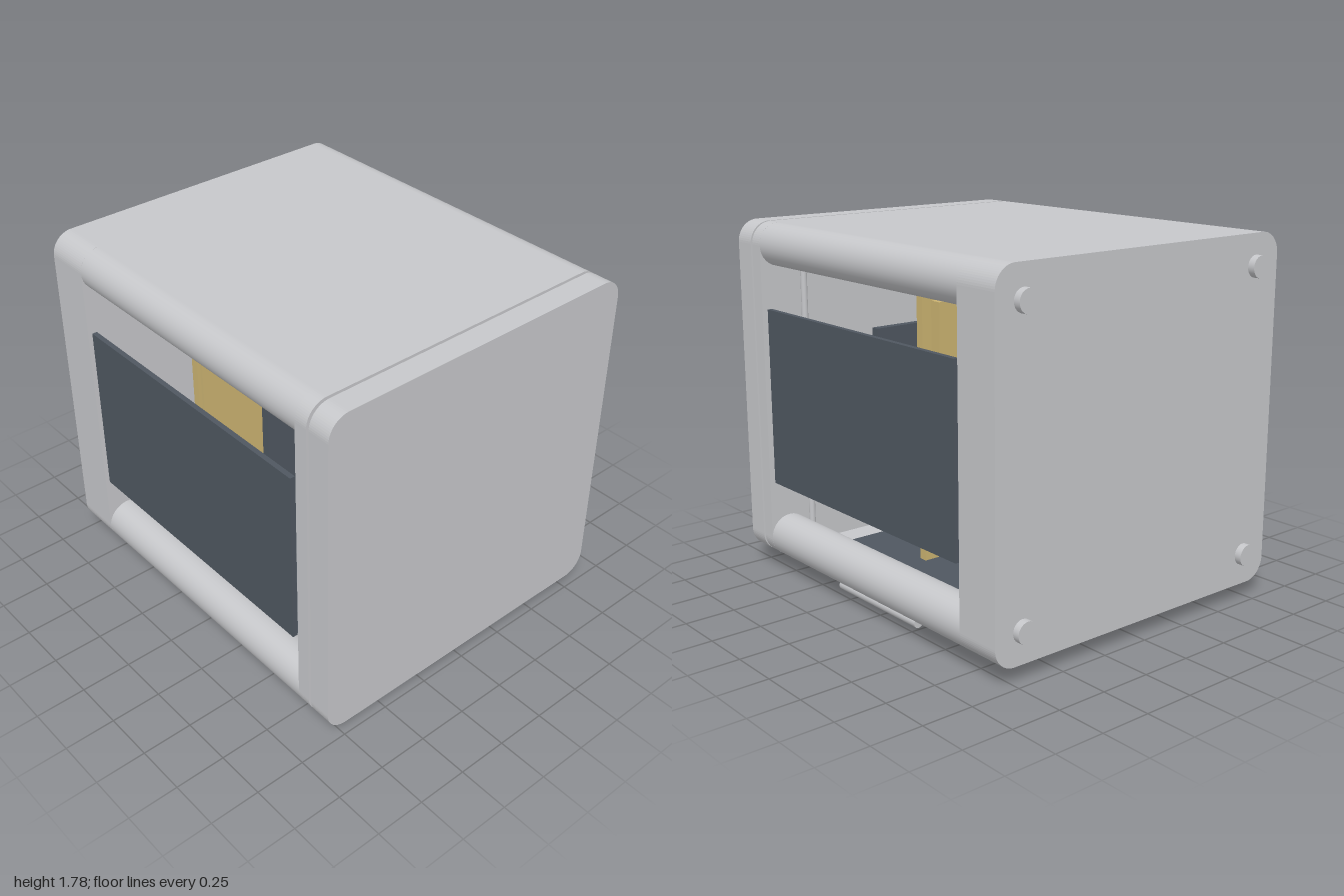
import * as THREE from 'three';

export function createModel() {
  const model = new THREE.Group();
  const shellGrey = new THREE.MeshStandardMaterial({ color: 0xc6c7ca });
  const slate = new THREE.MeshStandardMaterial({ color: 0x4f5760 });
  const gold = new THREE.MeshStandardMaterial({ color: 0xcbb371 });
  shellGrey.name = 'shellGrey';
  slate.name = 'slate';
  gold.name = 'gold';

  const MID = 0.932, HALF = 0.85, R = 0.106;

  function add(name, geometry, material, x = 0, y = 0, z = 0) {
    const mesh = new THREE.Mesh(geometry, material);
    mesh.name = name;
    mesh.position.set(x, y, z);
    model.add(mesh);
    return mesh;
  }

  // box given by its extents
  function box(name, material, x0, x1, y0, y1, z0, z1) {
    return add(name, new THREE.BoxGeometry(x1 - x0, y1 - y0, z1 - z0), material,
      (x0 + x1) / 2, (y0 + y1) / 2, (z0 + z1) / 2);
  }

  // cylinder centred at a point, along a chosen axis
  function rod(name, material, r, length, axis, x, y, z, sides = 20) {
    const g = new THREE.CylinderGeometry(r, r, length, sides);
    if (axis === 'x') g.rotateZ(Math.PI / 2);
    if (axis === 'z') g.rotateX(Math.PI / 2);
    return add(name, g, material, x, y, z);
  }

  // square slab with rounded corners, between two z planes
  function slab(name, half, r, z0, z1) {
    const s = new THREE.Shape();
    const c = half - r;
    s.absarc(c, c, r, 0, Math.PI / 2);
    s.absarc(-c, c, r, Math.PI / 2, Math.PI);
    s.absarc(-c, -c, r, Math.PI, Math.PI * 1.5);
    s.absarc(c, -c, r, Math.PI * 1.5, Math.PI * 2);
    s.closePath();
    const g = new THREE.ExtrudeGeometry(s, { depth: z1 - z0, bevelEnabled: false, curveSegments: 8 });
    add(name, g, shellGrey, 0, MID, z0);
  }

  // front cover, recessed spacer, front and back ends of the frame
  slab('frontCover', HALF, R, 0.885, 1);
  slab('coverSpacer', 0.775, 0.05, 0.86, 0.89);
  slab('frontFrame', HALF, R, 0.8, 0.87);
  slab('backFrame', HALF, R, -0.965, -0.73);

  // round corner rails and back feet
  for (const sx of [-1, 1]) {
    for (const sy of [-1, 1]) {
      rod('cornerRail', shellGrey, R, 1.56, 'z', sx * (HALF - R), MID + sy * (HALF - R), 0.035, 32);
      rod('foot', shellGrey, 0.053, 0.04, 'z', sx * 0.7, MID + sy * 0.697, -0.98, 24);
    }
  }

  // roof, and floor frame around the bottom panel
  const top = MID + HALF, bottom = MID - HALF;
  box('roof', shellGrey, -0.744, 0.744, top - 0.05, top, -0.74, 0.81);
  box('floorBack', shellGrey, -0.744, 0.744, bottom + 0.004, bottom + 0.04, -0.74, -0.53);
  box('floorFront', shellGrey, -0.744, 0.744, bottom + 0.004, bottom + 0.04, 0.66, 0.81);
  box('bottomPanel', slate, -0.66, 0.66, bottom, bottom + 0.045, -0.53, 0.66);

  // side panels and upright rods, mirrored
  for (const s of [-1, 1]) {
    const panel = new THREE.BoxGeometry(0.025, 0.88, 1.46);
    add('sidePanel', panel, slate, s * 0.832, 0.93, 0.03);
    for (const floorEdge of [-0.53, 0.66]) {
      box('floorLip', shellGrey, s * 0.7 - 0.044, s * 0.7 + 0.044,
        bottom, bottom + 0.04, Math.min(floorEdge, 0.06), Math.max(floorEdge, 0.06));
    }
    rod('uprightRod', shellGrey, 0.016, 1.46, 'y', s * 0.66, MID, 0.72, 12);
  }
  rod('crossRod', shellGrey, 0.016, 1.32, 'x', 0, 0.96, 0.72, 12);

  // layered gold plate inside
  box('goldFrontLayer', gold, -0.615, 0.615, 0.32, 1.545, -0.165, -0.147);
  box('goldMiddleLayer', gold, -0.63, 0.63, 0.305, 1.56, -0.203, -0.163);
  box('goldBackLayer', gold, -0.58, 0.58, 0.352, 1.512, -0.262, -0.2);

  // inner dark plate and its shaft
  box('innerPlate', slate, -0.57, 0.57, 0.57, 1.32, 0.23, 0.27);
  rod('shaft', slate, 0.025, 0.54, 'z', 0, 0.988, 0.535, 16);

  // rod handle under one edge
  rod('handleBar', shellGrey, 0.026, 0.62, 'z', 0.7, 0.027, 0.075, 20);
  for (const z of [0.29, -0.14]) rod('handlePost', shellGrey, 0.016, 0.08, 'y', 0.7, 0.075, z, 12);

  return model;
}
